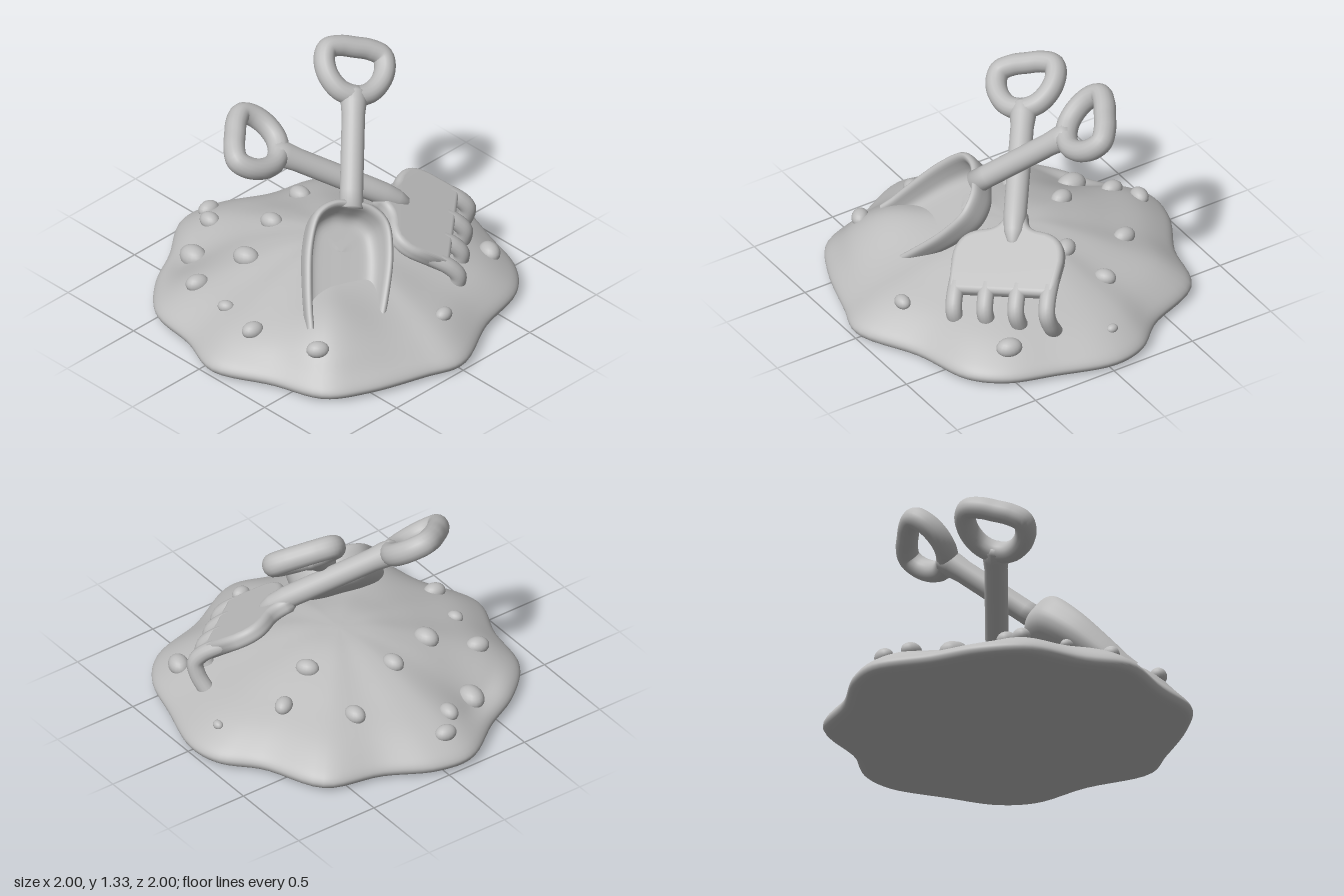
import * as THREE from 'three';
import { mergeVertices } from 'three/addons/utils/BufferGeometryUtils.js';
import { ParametricGeometry } from 'three/addons/geometries/ParametricGeometry.js';

const grey = new THREE.MeshStandardMaterial({ color: 0xbcbcbc });
grey.name = 'grey';

const V = (x, y, z = 0) => new THREE.Vector3(x, y, z);
const { lerp, clamp, smoothstep } = THREE.MathUtils;

function part(name, geometry, parent) {
  const mesh = new THREE.Mesh(geometry, grey);
  mesh.name = name;
  parent.add(mesh);
  return mesh;
}

// Weld seams and shade smoothly
function smooth(g) {
  g.deleteAttribute('normal');
  g.deleteAttribute('uv');
  const welded = mergeVertices(g, 1e-4);
  welded.computeVertexNormals();
  return welded;
}

// Group whose axes follow a tool: y along its shaft, z out of its face
function framed(name, origin, yAxis, zHint, parent) {
  const g = new THREE.Group();
  g.name = name;
  const y = yAxis.clone().normalize();
  const x = y.clone().cross(zHint).normalize();
  g.matrix.makeBasis(x, y, x.clone().cross(y)).setPosition(origin);
  g.matrix.decompose(g.position, g.quaternion, g.scale);
  parent.add(g);
  return g;
}

// Lobed outline of the sand, and its slope from crest to underside
const shore = new THREE.CatmullRomCurve3([
  [-0.02, -1], [0.3, -0.91], [0.57, -0.82], [0.73, -0.67], [0.83, -0.35], [1, 0], [0.94, 0.21],
  [0.83, 0.54], [0.7, 0.75], [0.41, 0.86], [0.09, 1], [-0.18, 0.91], [-0.48, 0.85], [-0.68, 0.66],
  [-0.81, 0.43], [-0.99, 0.16], [-0.97, -0.05], [-0.83, -0.32], [-0.735, -0.63], [-0.4, -0.8], [-0.21, -0.96],
].map(([x, z]) => V(x, 0, z)), true);
const rim = shore.getPoints(120);
const slope = new THREE.CatmullRomCurve3([
  [0, 0.395], [0.2, 0.38], [0.4, 0.33], [0.6, 0.265], [0.8, 0.195], [0.92, 0.13], [0.985, 0.08],
  [1, 0.05], [0.985, 0.02], [0.94, 0.003],
].map(([x, y]) => V(x, y)));
const slopePoints = slope.getPoints(45);

// Sand heaped where the shovel digs in, and a hollow on the other side
function heap(x, z, t) {
  const up = 0.085 * Math.exp(-((x - 0.48) ** 2 + (z - 0.5) ** 2) / 0.06);
  const down = 0.06 * Math.exp(-((x + 0.64) ** 2 + (z - 0.45) ** 2) / 0.04);
  return (up - down) * (1 - smoothstep(t, 0.85, 1));
}

function sandHeight(x, z) {
  const a = Math.atan2(z, x);
  let best = rim[0], gap = 9;
  for (const p of rim) {
    const d = Math.abs(Math.sin((Math.atan2(p.z, p.x) - a) / 2));
    if (d < gap) { gap = d; best = p; }
  }
  const t = Math.hypot(x, z) / Math.hypot(best.x, best.z);
  const i = Math.max(1, slopePoints.findIndex((p) => p.x >= t));
  const p = slopePoints[i - 1], q = slopePoints[i];
  return lerp(p.y, q.y, (t - p.x) / (q.x - p.x)) + heap(x, z, t);
}

function addSand(model) {
  part('sandMound', smooth(new ParametricGeometry((u, v, out) => {
    const edge = rim[Math.round(u * 120) % 120];
    const i = Math.round(v * 46);
    if (i === 46) return out.set(0, 0, 0);
    const s = slopePoints[i];
    const x = edge.x * s.x, z = edge.z * s.x;
    out.set(x, s.y + (i < 35 ? heap(x, z, s.x) : 0), z);
  }, 120, 46)), model);

  // Pebbles: x, z, size, turn
  [[-0.53, -0.28, 1, 0.1], [-0.86, 0.08, 0.95, 1.5], [-0.75, 0.18, 0.95, 0], [-0.64, 0.41, 1.3, 0],
    [-0.37, 0.65, 1, 1.2], [-0.1, 0.7, 0.7, 0.5], [0.155, 0.75, 0.95, 1.3], [0.55, 0.65, 0.95, 0.9],
    [0.76, -0.09, 0.8, 1.6], [0.48, -0.71, 1.1, -0.3], [-0.08, -0.86, 0.5, 0], [-0.37, 0.09, 1, 0.2],
    [-0.26, 0.39, 1.15, 0.3], [-0.14, -0.31, 1, 0.6], [-0.24, -0.54, 0.95, 2.2]].forEach(([x, z, s, turn]) => {
    const pebble = part('pebble', new THREE.SphereGeometry(0.065, 18, 12), model);
    pebble.position.set(x, sandHeight(x, z), z);
    pebble.scale.set(s, 0.75 * s, 0.78 * s);
    pebble.rotation.y = turn;
  });
}

// Round shaft with a closed, D-shaped grip; base lists [radius, y] below the shaft
function addHandle(tool, base) {
  const profile = [...base, [0.063, 0.1], [0.063, 0.53], [0.07, 0.6], [0.066, 0.66], [0.045, 0.685], [0, 0.69]];
  part('shaft', new THREE.LatheGeometry(profile.map(([r, y]) => new THREE.Vector2(r, y)), 28), tool);
  const loop = new THREE.CatmullRomCurve3([
    [0, 0.642], [0.085, 0.665], [0.15, 0.735], [0.175, 0.82], [0.158, 0.885], [0.085, 0.91], [0, 0.912],
    [-0.085, 0.91], [-0.158, 0.885], [-0.175, 0.82], [-0.15, 0.735], [-0.085, 0.665],
  ].map(([x, y]) => V(x, y)), true);
  part('grip', new THREE.TubeGeometry(loop, 80, 0.057, 16, true), tool).scale.z = 1.12;
}

function addShovel(model) {
  const shovel = framed('shovel', V(0.205, 0.68, 0.06), V(-0.545, 0.615, -0.57), V(0.67, 0.705, 0.15), model);
  addHandle(shovel, [[0, 0.005], [0.066, 0.005]]);

  // Scoop: wall section swept round a U, with the floor drawn in to the centre line
  const outline = new THREE.CatmullRomCurve3([
    [-0.21, -0.68], [-0.24, -0.45], [-0.25, -0.22], [-0.21, -0.04], [-0.11, 0.035], [0, 0.045],
    [0.11, 0.035], [0.21, -0.04], [0.25, -0.22], [0.24, -0.45], [0.21, -0.68],
  ].map(([x, y]) => V(x, y)));
  // [reach from centre, height from floor (0) to rim (1)]
  const section = new THREE.CatmullRomCurve3([
    [0, 0.1], [0.35, 0.1], [0.62, 0.13], [0.75, 0.28], [0.81, 0.6], [0.85, 0.92], [0.92, 1],
    [0.99, 0.92], [0.99, 0.6], [0.93, 0.22], [0.76, 0], [0.4, -0.1], [0, -0.1],
  ].map(([x, y]) => V(x, y)));
  const p = V(0, 0), s = V(0, 0);
  part('scoop', smooth(new ParametricGeometry((u, v, out) => {
    outline.getPoint(u, p);
    section.getPoint(v, s);
    const top = lerp(0.05, -0.03, clamp(-p.y / 0.6, 0, 1));
    out.set(p.x * s.x, lerp(Math.min(p.y, -0.2), p.y, s.x), lerp(-0.15, top, s.y));
  }, 60, 40)), shovel);
}

function addRake(model) {
  const origin = V(0.14, 0.61, -0.24);
  const rake = framed('rake', origin, V(-0.534, 0.489, 0.691), V(0.55, 0.81, -0.13), model);
  addHandle(rake, [[0, -0.17], [0.03, -0.15], [0.052, -0.09], [0.062, 0]]);

  const head = framed('rakeHead', origin, V(-0.604, 0.504, 0.608), V(0.47, 0.845, -0.22), model);
  // Plate with rounded shoulders
  const shape = new THREE.Shape();
  shape.moveTo(-0.27, -0.42);
  shape.lineTo(-0.285, -0.25);
  shape.bezierCurveTo(-0.285, -0.12, -0.2, -0.11, -0.13, -0.1);
  shape.quadraticCurveTo(-0.05, -0.08, -0.035, 0);
  shape.lineTo(0.035, 0);
  shape.quadraticCurveTo(0.05, -0.08, 0.13, -0.1);
  shape.bezierCurveTo(0.2, -0.11, 0.285, -0.12, 0.285, -0.25);
  shape.lineTo(0.27, -0.42);
  shape.closePath();
  part('rakePlate', smooth(new THREE.ExtrudeGeometry(shape, {
    depth: 0.02, bevelThickness: 0.035, bevelSize: 0.03, bevelSegments: 6, curveSegments: 14,
  })), head).position.z = -0.04;

  // Four tines with a knuckle, dropping straight into the sand
  for (let i = 0; i < 4; i++) {
    const x = -0.264 + i * 0.176;
    const path = new THREE.CatmullRomCurve3([
      V(x, -0.34, -0.03), V(x, -0.47, -0.032), V(x, -0.535, -0.06), V(x, -0.56, -0.13), V(x, -0.555, -0.26),
    ]);
    part('tine', new THREE.TubeGeometry(path, 24, 0.045, 14), head);
  }
}

export function createModel() {
  const model = new THREE.Group();
  model.name = 'sandPlaySet';
  addSand(model);
  addShovel(model);
  addRake(model);
  return model;
}
